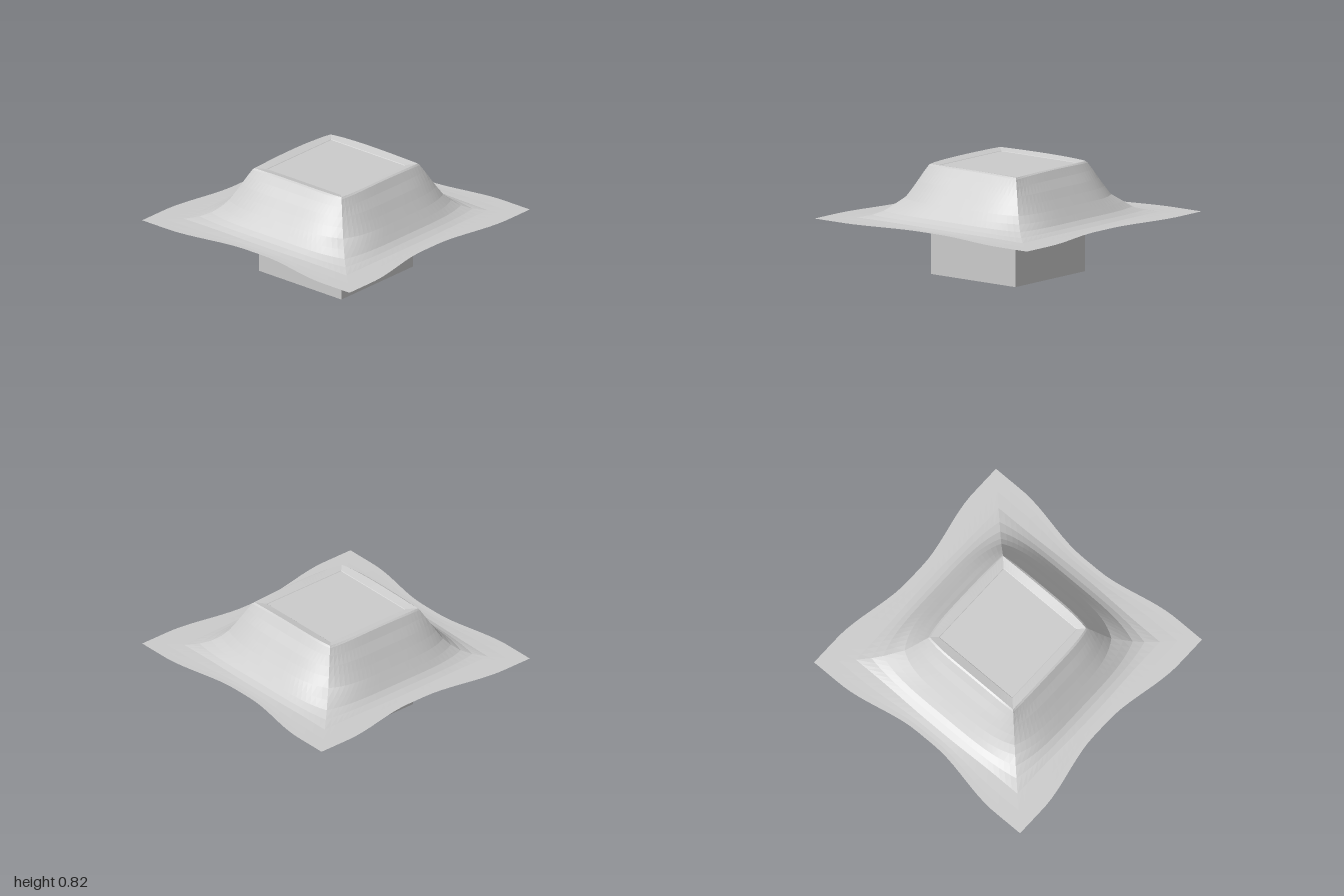
import * as THREE from 'three';

const SIDE = 28; // cloth segments along each side

// Cloth rings from the middle outwards:
// [half width at side centre, half width at corner, height at centre, height at corner]
const RINGS = [
  [0.00, 0.00, 0.79, 0.79],
  [0.34, 0.34, 0.79, 0.79],
  [0.355, 0.355, 0.803, 0.803],
  [0.42, 0.42, 0.819, 0.813],
  [0.435, 0.43, 0.812, 0.80],
  [0.475, 0.455, 0.755, 0.752],
  [0.525, 0.485, 0.695, 0.69],
  [0.57, 0.515, 0.635, 0.63],
  [0.62, 0.55, 0.572, 0.565],
  [0.665, 0.59, 0.518, 0.515],
  [0.70, 0.64, 0.478, 0.472],
  [0.74, 0.70, 0.452, 0.444],
  [0.79, 0.78, 0.433, 0.428],
  [0.835, 0.87, 0.427, 0.425],
  [0.865, 0.935, 0.425, 0.425],
  [0.90, 0.995, 0.425, 0.425],
];

// One point of a ring; side 0..3, p runs -1..1 along that side
function clothPoint(ring, index, side, p) {
  const [rMid, rCorner, yMid, yCorner] = ring;
  const a = Math.abs(p);
  const outer = index > 11;
  const w = outer ? THREE.MathUtils.smoothstep(a, 0.08, 0.75) : a ** 4;
  // two opposite corners of the rim are pulled in a little
  const pulled = (side % 2 === 0) === (p > 0);
  const pinch = pulled && index > 2 && index < 9 ? 0.02 : 0;
  const out = THREE.MathUtils.lerp(rMid, rCorner - pinch, w);
  const along = p * (rCorner - pinch);
  const y = THREE.MathUtils.lerp(yMid, yCorner, a ** 2);
  const spots = [[along, out], [out, -along], [-along, -out], [-out, along]];
  const [x, z] = spots[side];
  return [x, y, z];
}

function clothGeometry() {
  const positions = [];
  const indices = [];
  const count = SIDE * 4;
  RINGS.forEach((ring, i) => {
    for (let k = 0; k < count; k++) {
      const side = Math.floor(k / SIDE);
      const p = ((k % SIDE) / SIDE) * 2 - 1;
      positions.push(...clothPoint(ring, i, side, p));
    }
  });
  for (let i = 0; i < RINGS.length - 1; i++) {
    for (let k = 0; k < count; k++) {
      const n = (k + 1) % count;
      const a = i * count + k, b = i * count + n;
      const c = a + count, d = b + count;
      if (i > 0) indices.push(a, c, b);
      indices.push(b, c, d);
    }
  }
  const geometry = new THREE.BufferGeometry();
  geometry.setAttribute('position', new THREE.Float32BufferAttribute(positions, 3));
  geometry.setIndex(indices);
  const flat = geometry.toNonIndexed();
  flat.computeVertexNormals();
  return flat;
}

export function createModel() {
  const model = new THREE.Group();
  model.name = 'drapedCube';

  // Solid cube standing on the ground
  const cube = new THREE.Mesh(
    new THREE.BoxGeometry(0.79, 0.8, 0.79),
    new THREE.MeshStandardMaterial({ color: 0xcccccc, flatShading: true })
  );
  cube.name = 'cube';
  cube.position.y = 0.4;
  model.add(cube);

  // Cloth lying over the cube, with a flat wavy hem
  const cloth = new THREE.Mesh(
    clothGeometry(),
    new THREE.MeshStandardMaterial({ color: 0xcccccc, flatShading: true, side: THREE.DoubleSide })
  );
  cloth.name = 'cloth';
  model.add(cloth);

  return model;
}
